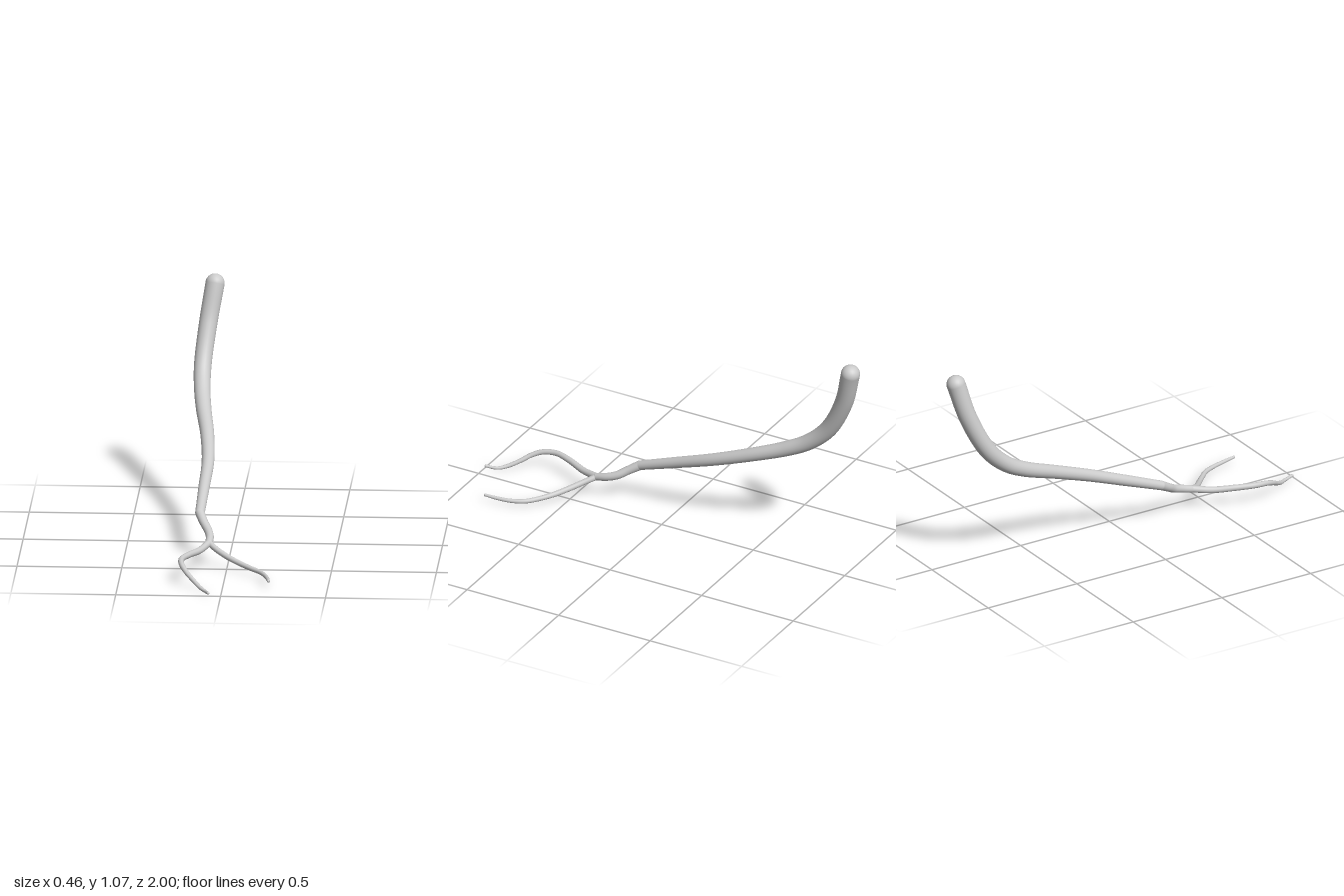
import * as THREE from 'three';

const material = new THREE.MeshStandardMaterial({ color: 0xcccccc });

// Tapered round limb through points [x, y, z, radius], with rounded ends
function limb(name, points, segments, sides = 24) {
  const group = new THREE.Group();
  group.name = name;
  const centres = points.map(([x, y, z]) => new THREE.Vector3(x, y, z));
  const curve = new THREE.CatmullRomCurve3(centres, false, 'centripetal');
  const geometry = new THREE.TubeGeometry(curve, segments, 1, sides, false);
  const position = geometry.attributes.position;
  const v = new THREE.Vector3();

  // Scale each ring about its centre to the interpolated radius
  for (let i = 0; i <= segments; i++) {
    const u = i / segments;
    const centre = curve.getPointAt(u);
    const t = curve.getUtoTmapping(u) * (points.length - 1);
    const k = Math.min(Math.floor(t), points.length - 2);
    const radius = THREE.MathUtils.lerp(points[k][3], points[k + 1][3], t - k);
    for (let j = 0; j <= sides; j++) {
      const n = i * (sides + 1) + j;
      v.fromBufferAttribute(position, n).sub(centre).multiplyScalar(radius).add(centre);
      position.setXYZ(n, v.x, v.y, v.z);
    }
  }
  const tube = new THREE.Mesh(geometry, material);
  tube.name = name + 'Tube';
  group.add(tube);

  // Rounded ends
  for (const end of [0, points.length - 1]) {
    const cap = new THREE.Mesh(new THREE.SphereGeometry(points[end][3], sides, 16), material);
    cap.name = name + 'End';
    cap.position.copy(centres[end]);
    group.add(cap);
  }
  return group;
}

export function createModel() {
  const model = new THREE.Group();
  model.name = 'branch';

  // Thick main branch, from the upper back to the joint
  model.add(limb('mainBranch', [
    [-0.14, 1.025, -0.953, 0.046],
    [-0.17, 0.84, -0.9, 0.044],
    [-0.19, 0.66, -0.805, 0.042],
    [-0.186, 0.56, -0.7, 0.039],
    [-0.173, 0.5, -0.59, 0.037],
    [-0.145, 0.425, -0.4, 0.033],
    [-0.13, 0.35, -0.2, 0.03],
    [-0.137, 0.275, 0, 0.027],
    [-0.145, 0.2, 0.2, 0.023],
  ], 100));

  // Short bent stem leading to the fork
  model.add(limb('stem', [
    [-0.145, 0.2, 0.2, 0.023],
    [-0.125, 0.17, 0.25, 0.021],
    [-0.1, 0.14, 0.3, 0.02],
    [-0.089, 0.122, 0.35, 0.019],
    [-0.09, 0.107, 0.405, 0.018],
  ], 32));

  // Two thin twigs
  model.add(limb('rightTwig', [
    [-0.09, 0.107, 0.405, 0.017],
    [-0.13, 0.094, 0.5, 0.016],
    [-0.176, 0.098, 0.6, 0.015],
    [-0.205, 0.099, 0.69, 0.014],
    [-0.198, 0.09, 0.76, 0.013],
    [-0.175, 0.07, 0.81, 0.012],
    [-0.143, 0.045, 0.85, 0.011],
    [-0.105, 0.02, 0.9, 0.01],
    [-0.077, 0.011, 0.94, 0.008],
    [-0.06, 0.016, 0.993, 0.007],
  ], 70, 16));
  model.add(limb('leftTwig', [
    [-0.09, 0.107, 0.405, 0.015],
    [-0.05, 0.086, 0.45, 0.014],
    [0.005, 0.064, 0.5, 0.014],
    [0.065, 0.047, 0.55, 0.013],
    [0.12, 0.037, 0.6, 0.012],
    [0.167, 0.032, 0.65, 0.011],
    [0.195, 0.031, 0.71, 0.01],
    [0.211, 0.034, 0.78, 0.009],
    [0.219, 0.039, 0.84, 0.007],
  ], 60, 16));

  return model;
}
